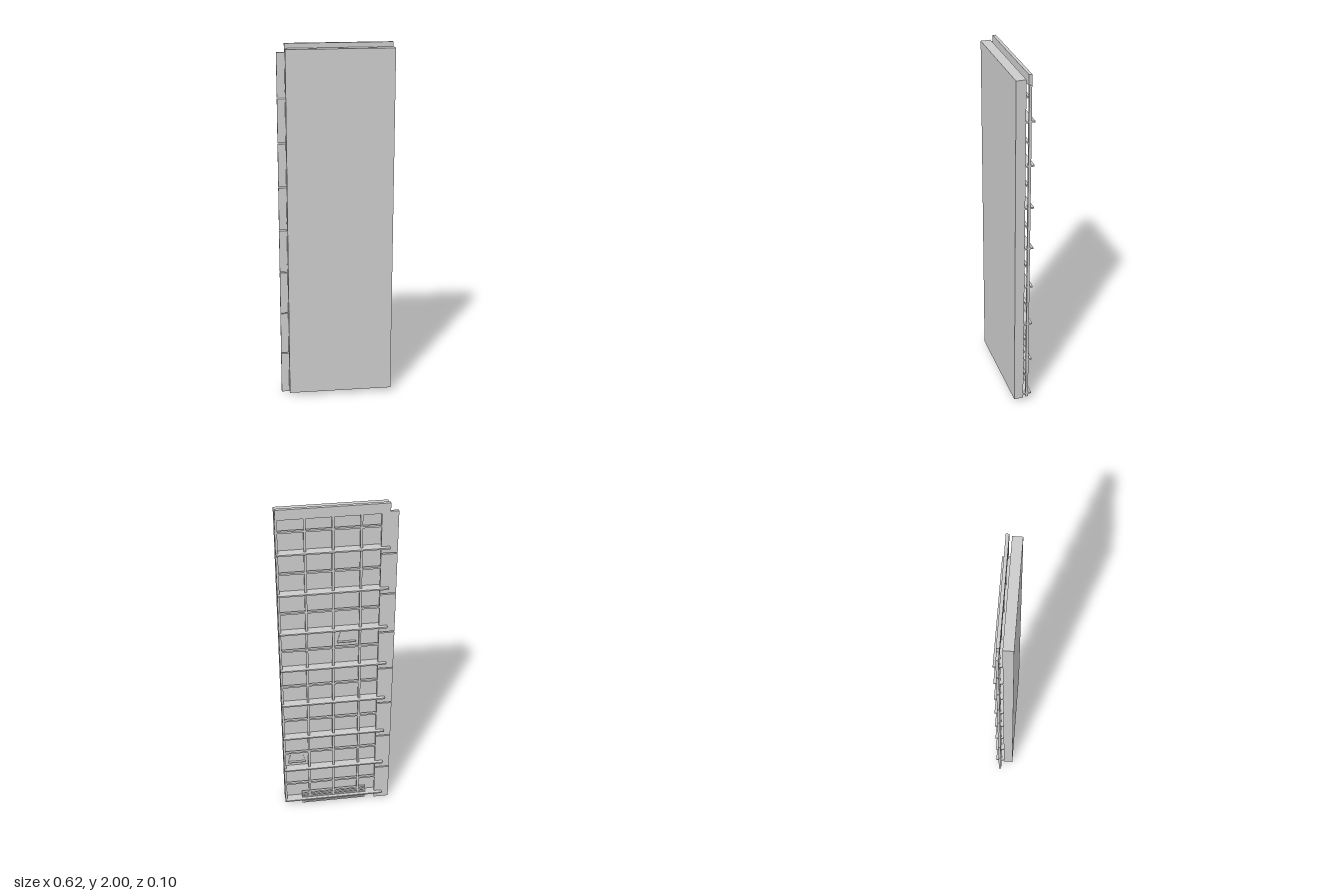
import * as THREE from 'three';

const material = new THREE.MeshStandardMaterial({ color: 0xcccccc, flatShading: true, side: THREE.DoubleSide });

// Box given by its limits on each axis
function block(parent, name, [x0, x1], [y0, y1], [z0, z1]) {
  const mesh = new THREE.Mesh(new THREE.BoxGeometry(x1 - x0, y1 - y0, z1 - z0), material);
  mesh.position.set((x0 + x1) / 2, (y0 + y1) / 2, (z0 + z1) / 2);
  mesh.name = name;
  parent.add(mesh);
  return mesh;
}

function group(parent, name) {
  const g = new THREE.Group();
  g.name = name;
  parent.add(g);
  return g;
}

export function createModel() {
  const model = new THREE.Group();
  model.name = 'wallPanel';
  const left = 0.311, right = -0.27;
  const frameZ = [-0.032, -0.018];

  // Thick front slab
  block(model, 'frontSlab', [right, left], [0.026, 1.976], [-0.003, 0.05]);

  // Head beam along the top
  block(model, 'topBeam', [right, left - 0.002], [1.943, 2], [-0.033, -0.016]);

  // Horizontal fins that stand out at the back, with thin rails halfway between
  const fins = group(model, 'backFins');
  const rails = group(model, 'backRails');
  const pitch = 0.243;
  for (let i = 0; i < 8; i++) {
    const y = 0.05 + i * pitch;
    block(fins, 'fin', [right, left], [y - 0.004, y + 0.004], [-0.051, -0.003]);
    const m = y + pitch / 2;
    block(rails, 'rail', [-0.226, left], [m - 0.005, m + 0.005], frameZ);
  }

  // Upright studs
  const studs = group(model, 'uprightStuds');
  for (const x of [0.306, 0.163, 0.02, -0.125]) {
    block(studs, 'stud', [x - 0.006, x + 0.006], [0.03, 1.945], frameZ);
  }

  // Side strip made of eight boards with narrow gaps
  const strip = group(model, 'sideStrip');
  for (let i = 0; i < 8; i++) {
    block(strip, 'stripBoard', [-0.312, -0.226], [0.004 + i * 0.2445, (i + 1) * 0.2445 - 0.003], frameZ);
  }

  // Slatted vent at the foot
  const vent = group(model, 'footVent');
  for (let i = 0; i < 5; i++) {
    const y = 0.01 + i * 0.019;
    block(vent, 'slat', [-0.17, 0.21], [y, y + 0.01], frameZ);
  }
  for (const x of [-0.17, 0.202]) {
    block(vent, 'ventEnd', [x, x + 0.008], [0.01, 0.096], frameZ);
  }

  // Tapered hanging brackets with a small ledge
  const shape = new THREE.Shape([
    new THREE.Vector2(-0.05, 0), new THREE.Vector2(0.05, 0),
    new THREE.Vector2(0.033, 0.065), new THREE.Vector2(-0.033, 0.065),
  ]);
  for (const [x, y] of [[-0.055, 1.165], [0.235, 0.326]]) {
    const bracket = group(model, 'bracket');
    const plate = new THREE.Mesh(new THREE.ExtrudeGeometry(shape, { depth: 0.004, bevelEnabled: false }), material);
    plate.name = 'bracketPlate';
    plate.position.z = -0.007;
    bracket.add(plate);
    block(bracket, 'bracketLedge', [-0.05, 0.05], [0, 0.005], [-0.02, -0.003]);
    bracket.position.set(x, y, 0);
  }

  return model;
}
